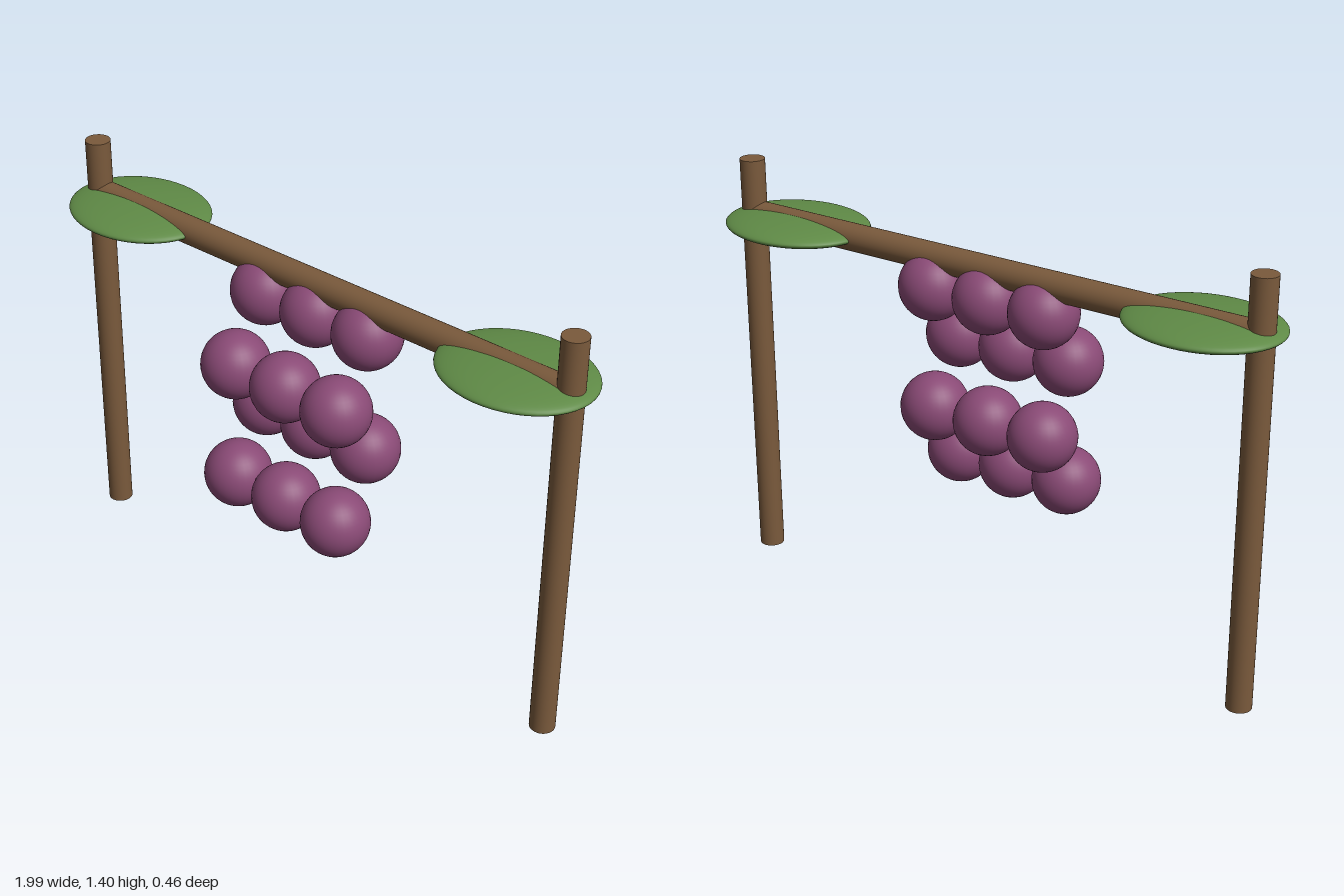
import * as THREE from 'three';

export function createModel() {
  const group = new THREE.Group();
  const wood = new THREE.MeshStandardMaterial({ name: 'brown wood', color: 0x7a5a3c });
  const leafGreen = new THREE.MeshStandardMaterial({ name: 'leaf green', color: 0x5f8a46 });
  const purple = new THREE.MeshStandardMaterial({ name: 'grape purple', color: 0x8a4a76 });
  const midZ = -0.02;

  const add = (name, geometry, material, x, y, z) => {
    const mesh = new THREE.Mesh(geometry, material);
    mesh.name = name;
    mesh.position.set(x, y, z);
    group.add(mesh);
    return mesh;
  };

  // Posts and the flattened leaves beside them
  const postGeo = new THREE.CylinderGeometry(0.041, 0.041, 1.4, 32);
  const leafGeo = new THREE.SphereGeometry(1, 48, 32).scale(0.25, 0.036, 0.207);
  for (const [side, s] of [['left', 1], ['right', -1]]) {
    add(side + 'Post', postGeo, wood, s * 0.93, 0.7, midZ);
    add(side + 'Leaf', leafGeo, leafGreen, s * 0.747, 1.213, midZ);
  }

  // Crossbeam between the posts
  const beamGeo = new THREE.CylinderGeometry(0.045, 0.045, 1.86, 32).rotateZ(Math.PI / 2);
  add('crossbeam', beamGeo, wood, 0, 1.213, midZ);

  // Hanging grapes: four rows of three, alternating back and front
  const grapeGeo = new THREE.SphereGeometry(0.111, 32, 24);
  for (let row = 0; row < 4; row++) {
    for (let col = -1; col <= 1; col++) {
      add('grape', grapeGeo, purple, col * 0.205, 1.119 - row * 0.2045, row % 2 ? 0.121 : midZ);
    }
  }
  return group;
}
